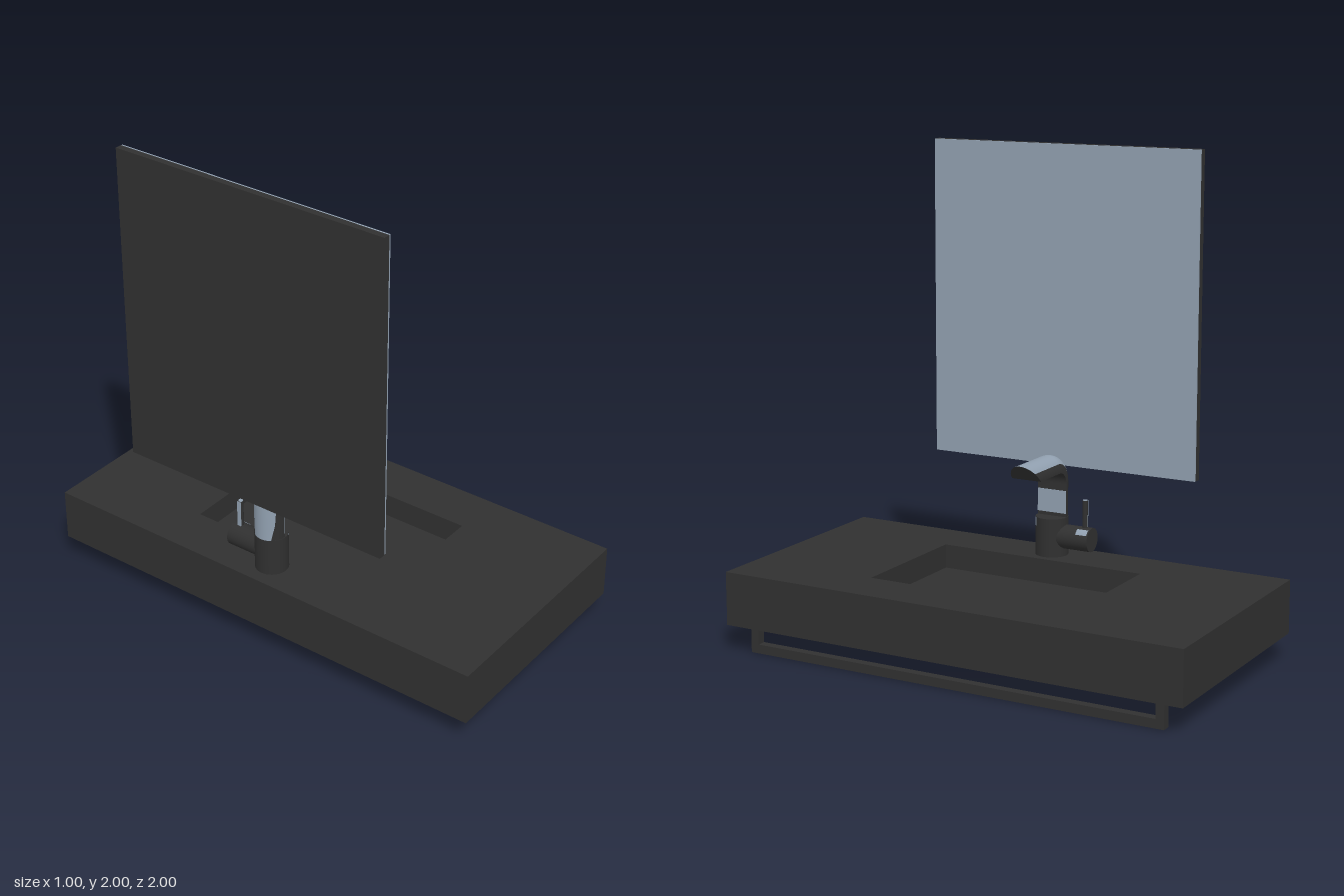
import * as THREE from 'three';

const dark = new THREE.MeshStandardMaterial({ color: 0x303030 });
dark.name = 'matte black';
const steel = new THREE.MeshStandardMaterial({ color: 0x91a0b0 });
steel.name = 'mirror blue grey';

export function createModel() {
  const model = new THREE.Group();

  const add = (name, geometry, material, x = 0, y = 0, z = 0, parent = model) => {
    const mesh = new THREE.Mesh(geometry, material);
    mesh.name = name;
    mesh.position.set(x, y, z);
    parent.add(mesh);
    return mesh;
  };
  // box given by its minimum and maximum corners
  const box = (name, a, b, material, parent) => add(name,
    new THREE.BoxGeometry(b[0] - a[0], b[1] - a[1], b[2] - a[2]), material,
    (a[0] + b[0]) / 2, (a[1] + b[1]) / 2, (a[2] + b[2]) / 2, parent);

  // counter: a rim with a rectangular opening over a solid base
  const rect = (P, w, h) => {
    const p = new P();
    p.moveTo(-w, -h);
    p.lineTo(w, -h);
    p.lineTo(w, h);
    p.lineTo(-w, h);
    p.closePath();
    return p;
  };
  const rim = rect(THREE.Shape, 0.5, 1);
  rim.holes.push(rect(THREE.Path, 0.285, 0.45));
  const rimGeometry = new THREE.ExtrudeGeometry(rim, { depth: 0.1, bevelEnabled: false });
  rimGeometry.rotateX(-Math.PI / 2);
  add('counterRim', rimGeometry, dark, 0, 0.23, 0);
  box('counterBase', [-0.5, 0.11, -1], [0.5, 0.23, 1], dark);

  // towel rail under the free edge
  const rail = new THREE.Group();
  rail.name = 'towelRail';
  model.add(rail);
  box('railBar', [0.425, 0, -0.91], [0.462, 0.037, 0.91], dark, rail);
  for (const s of [-1, 1]) {
    const z = s * 0.8925;
    box('railPost', [0.425, 0.037, z - 0.0175], [0.462, 0.11, z + 0.0175], dark, rail);
  }

  // mirror
  box('mirrorBacking', [-0.5, 0.685, -0.6], [-0.472, 2, 0.6], dark);
  box('mirrorGlass', [-0.472, 0.685, -0.599], [-0.464, 1.999, 0.599], steel);

  // tap body, side handle and lever
  const tap = new THREE.Group();
  tap.name = 'tap';
  model.add(tap);
  const cx = -0.383;
  add('tapBody', new THREE.CylinderGeometry(0.0675, 0.0675, 0.16, 40), dark, cx, 0.41, 0, tap);
  const knob = add('handleBarrel', new THREE.CylinderGeometry(0.05, 0.05, 0.145, 32), dark, cx, 0.41, -0.1125, tap);
  knob.rotation.x = Math.PI / 2;
  add('lever', new THREE.CylinderGeometry(0.011, 0.011, 0.125, 16), dark, cx, 0.509, -0.152, tap);
  add('leverCap', new THREE.CylinderGeometry(0.009, 0.009, 0.003, 16), steel, cx, 0.573, -0.152, tap);
  box('leverBackStrip', [cx - 0.013, 0.46, -0.16], [cx - 0.009, 0.571, -0.144], steel, tap);

  // curved inlays on the body and barrel, following their surfaces
  const patch = (r, h, start, length) =>
    new THREE.CylinderGeometry(r, r, h, 8, 1, true, start, length);
  add('bodyInlay', patch(0.0685, 0.036, 0.45, 0.45), steel, cx, 0.472, 0, tap);
  const inlay = add('barrelInlay', patch(0.051, 0.05, 2.1, 0.55), steel, cx, 0.41, -0.155, tap);
  inlay.rotation.x = Math.PI / 2;

  // spout stations: inner x, inner y, outer x, outer y, share of the section that is dark
  const stations = [[-0.383, 0.488, -0.45, 0.488, 0.8], [-0.383, 0.56, -0.45, 0.56, 0.62]];
  for (let i = 0; i <= 12; i++) {
    const a = (i / 12) * Math.PI / 2, c = Math.cos(a), s = Math.sin(a);
    stations.push([-0.325 - 0.058 * c, 0.63 + 0.055 * s, -0.34 - 0.11 * c, 0.64 + 0.11 * s, 0.55]);
  }
  stations.push([-0.165, 0.685, -0.112, 0.75, 0.55]);

  // half-round section between a flat inner face and an arched outer one
  const sectionPoint = (st, angle) => {
    const s = Math.sin(angle), w = 0.0655;
    return [st[0] + (st[2] - st[0]) * s, st[1] + (st[3] - st[1]) * s, w * Math.cos(angle)];
  };
  // skin through the stations, from one section angle to another
  const skin = (name, from, to, n, material) => {
    const pos = [], idx = [], row = n + 1;
    stations.forEach((st, i) => {
      for (let j = 0; j <= n; j++) {
        pos.push(...sectionPoint(st, from(st) + (to(st) - from(st)) * j / n));
        if (i && j) {
          const d = i * row + j, c = d - 1, b = d - row, a = b - 1;
          idx.push(a, c, b, b, c, d);
        }
      }
    });
    const g = new THREE.BufferGeometry();
    g.setAttribute('position', new THREE.Float32BufferAttribute(pos, 3));
    g.setIndex(idx);
    g.computeVertexNormals();
    add(name, g, material, 0, 0, 0, tap);
  };
  const split = st => Math.asin(st[4]);
  skin('spoutSideLeft', () => 0, split, 8, dark);
  skin('spoutCrown', split, st => Math.PI - split(st), 16, steel);
  skin('spoutSideRight', st => Math.PI - split(st), () => Math.PI, 8, dark);
  skin('spoutUnderside', () => Math.PI, () => Math.PI * 2, 1, dark);

  // slanted mouth of the spout
  const last = stations[stations.length - 1];
  const mouth = [], fan = [];
  for (let j = 0; j <= 24; j++) {
    mouth.push(...sectionPoint(last, Math.PI * j / 24));
    if (j > 1) fan.push(0, j - 1, j);
  }
  const mouthGeometry = new THREE.BufferGeometry();
  mouthGeometry.setAttribute('position', new THREE.Float32BufferAttribute(mouth, 3));
  mouthGeometry.setIndex(fan.reverse());
  mouthGeometry.computeVertexNormals();
  add('spoutMouth', mouthGeometry, dark, 0, 0, 0, tap);

  // bright plate on the flat front of the column
  box('columnPlate', [-0.385, 0.505, -0.065], [-0.38, 0.6, 0.065], steel, tap);

  return model;
}
